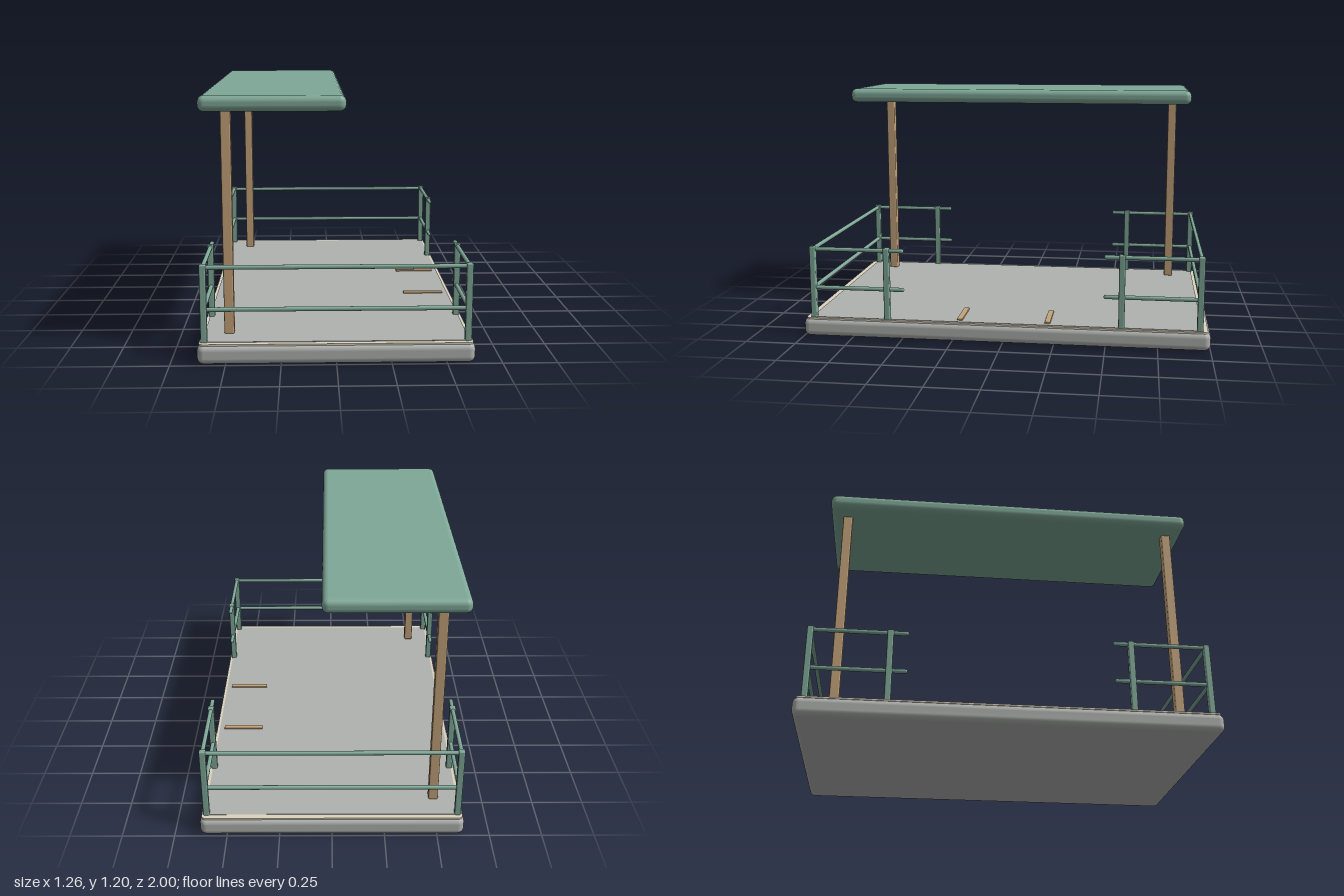
import * as THREE from 'three';
import { RoundedBoxGeometry } from 'three/addons/geometries/RoundedBoxGeometry.js';

const material = (name, color) => {
  const m = new THREE.MeshStandardMaterial({ color });
  m.name = name;
  return m;
};

export function createModel() {
  const green = material('sage green', 0x7fa898);
  const grey = material('concrete grey', 0xb0b3b0);
  const tan = material('tan wood', 0xc4a37a);
  const cream = material('cream trim', 0xddd3bf);
  const model = new THREE.Group();
  model.name = 'coveredPlatform';

  // Soft-edged box given by its size and centre
  function box(name, mat, size, centre, radius, parent = model) {
    const mesh = new THREE.Mesh(new RoundedBoxGeometry(...size, 4, radius), mat);
    mesh.name = name;
    mesh.position.set(...centre);
    parent.add(mesh);
  }

  // Thin horizontal plate with rounded corners
  function plate(name, mat, w, d, r, y0, y1) {
    const x = w / 2, z = d / 2;
    const s = new THREE.Shape();
    s.absarc(x - r, z - r, r, 0, Math.PI / 2);
    s.absarc(r - x, z - r, r, Math.PI / 2, Math.PI);
    s.absarc(r - x, r - z, r, Math.PI, Math.PI * 1.5);
    s.absarc(x - r, r - z, r, Math.PI * 1.5, Math.PI * 2);
    const g = new THREE.ExtrudeGeometry(s, { depth: y1 - y0, bevelEnabled: false, curveSegments: 5 });
    g.rotateX(-Math.PI / 2);
    const mesh = new THREE.Mesh(g, mat);
    mesh.name = name;
    mesh.position.y = y0;
    model.add(mesh);
  }

  // Platform: slab, edge trim and floor
  box('platformSlab', grey, [1.256, 0.092, 2], [0, 0.046, 0], 0.03);
  plate('edgeTrim', cream, 1.24, 1.975, 0.02, 0.086, 0.0945);
  plate('floor', grey, 1.212, 1.92, 0.008, 0.09, 0.097);

  // Canopy
  box('canopyRoof', green, [0.656, 0.072, 1.812], [-0.283, 1.164, 0], 0.03);

  for (const side of [1, -1]) {
    box('canopyPost', tan, [0.046, 1.04, 0.046], [-0.492, 0.615, side * 0.823], 0.006);
    box('entryStrip', tan, [0.205, 0.012, 0.028], [0.478, 0.098, side * 0.217], 0.002);

    // Railing around each end of the platform
    const railing = new THREE.Group();
    railing.name = side > 0 ? 'frontRailing' : 'backRailing';
    model.add(railing);
    for (const x of [0.598, -0.598]) {
      for (const z of [0.949, 0.576])
        box('railingPost', green, [0.03, 0.365, 0.03], [x, 0.2725, side * z], 0.006, railing);
      for (const y of [0.441, 0.246])
        box('sideRail', green, [0.02, 0.02, 0.46], [x, y, side * 0.719], 0.009, railing);
    }
    for (const y of [0.441, 0.246])
      box('endRail', green, [1.196, 0.02, 0.02], [0, y, side * 0.949], 0.009, railing);
  }
  return model;
}
